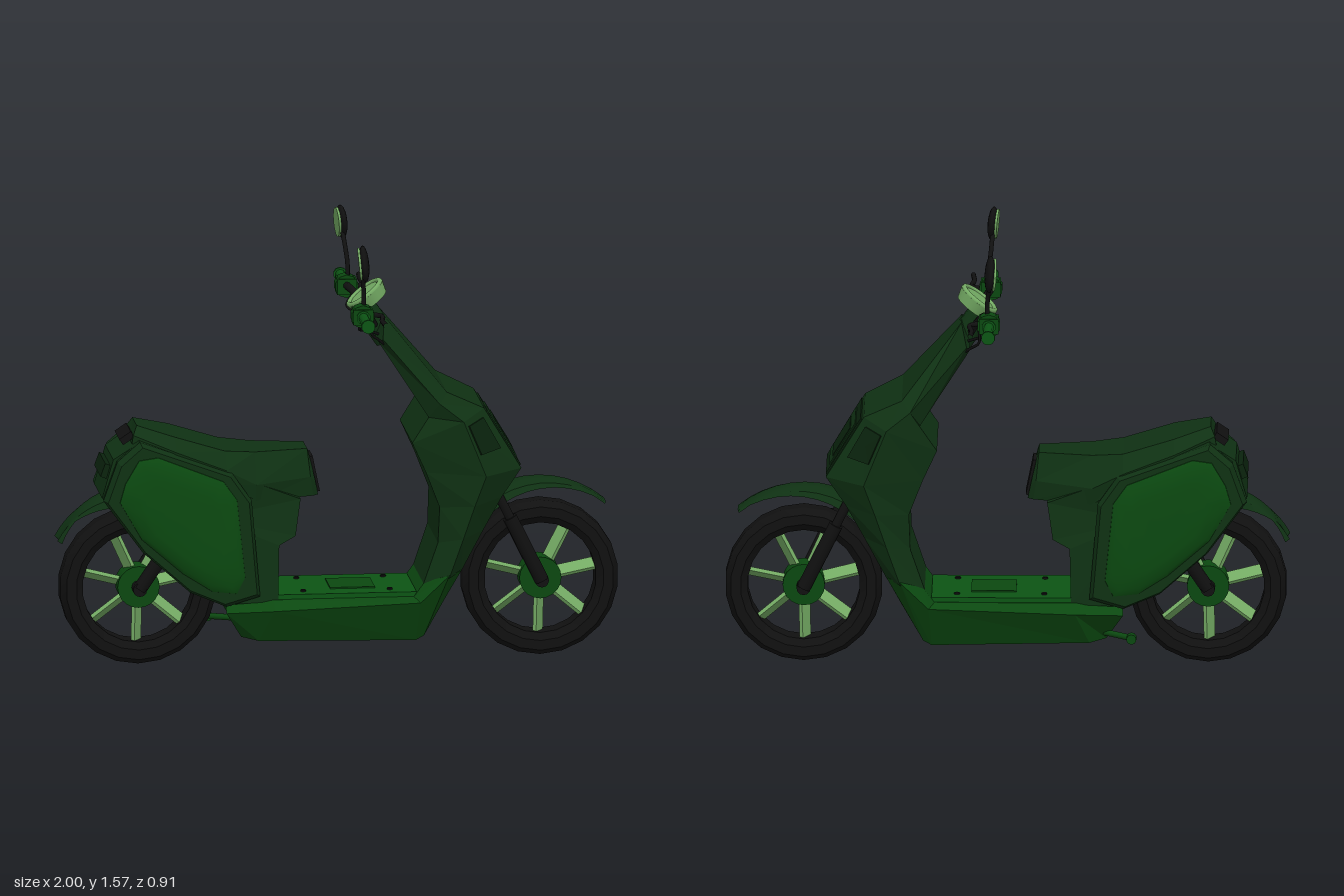
import * as THREE from 'three';
import { toCreasedNormals } from 'three/addons/utils/BufferGeometryUtils.js';

const mat = (name, color) => Object.assign(new THREE.MeshStandardMaterial({ color }), { name });

export function createModel() {
  const body = mat('dark green', 0x0f3113), panel = mat('mid green', 0x0b4810), floorGreen = mat('floor green', 0x0c5414);
  const black = mat('black', 0x101010), light = mat('pale green', 0x74ab64), trim = mat('shadow green', 0x0a230d);
  const model = new THREE.Group(), root = new THREE.Group();
  model.name = 'scooter';
  root.name = 'scooterParts';
  root.position.z = -0.01;
  model.add(root);

  const V = (x, y, z) => new THREE.Vector3(x, y, z);
  const add = (name, geo, material, parent = root) => {
    const m = new THREE.Mesh(geo, material);
    m.name = name;
    parent.add(m);
    return m;
  };
  // Skin closed rings of points, cap both ends, and face everything outward
  const loft = (rings, crease = 0.05) => {
    const tris = [], n = rings[0].length;
    for (let i = 0; i < rings.length - 1; i++) for (let j = 0; j < n; j++) {
      const k = (j + 1) % n, a = rings[i][j], b = rings[i][k], c = rings[i + 1][k], d = rings[i + 1][j];
      tris.push([a, b, c], [a, c, d]);
    }
    const cap = (ring, flip) => {
      const mid = ring.reduce((s, p) => s.add(p), V(0, 0, 0)).divideScalar(n);
      ring.forEach((p, j) => tris.push(flip ? [mid, ring[(j + 1) % n], p] : [mid, p, ring[(j + 1) % n]]));
    };
    cap(rings[0], true);
    cap(rings[rings.length - 1], false);
    const o = rings[0][0];
    const volume = tris.reduce((s, [a, b, c]) =>
      s + a.clone().sub(o).dot(b.clone().sub(o).cross(c.clone().sub(o))), 0);
    if (volume < 0) tris.forEach(t => t.reverse());
    const g = new THREE.BufferGeometry().setFromPoints(tris.flat());
    g.computeVertexNormals();
    return crease > 0.1 ? toCreasedNormals(g, crease) : g;
  };
  // Symmetric ring from [x, y, half width] points
  const ringOf = pts => [...pts.map(([x, y, w]) => V(x, y, w)), ...pts.slice().reverse().map(([x, y, w]) => V(x, y, -w))];
  const rod = (name, a, b, r, material, r2 = r) => {
    const d = b.clone().sub(a), m = add(name, new THREE.CylinderGeometry(r2, r, d.length(), 10), material);
    m.position.copy(a).lerp(b, 0.5);
    m.quaternion.setFromUnitVectors(V(0, 1, 0), d.normalize());
    return m;
  };
  const tube = (name, pts, r, material) =>
    add(name, new THREE.TubeGeometry(new THREE.CatmullRomCurve3(pts), 16, r, 8), material);
  // Side shell: outline in x,y stepped out in z, each step scaled about the middle
  const shell = (name, outline, steps, s, material, crease) => {
    const cx = outline.reduce((t, p) => t + p[0], 0) / outline.length, cy = outline.reduce((t, p) => t + p[1], 0) / outline.length;
    add(name, loft(steps.map(([z, k]) => outline.map(([x, y]) => V(cx + (x - cx) * k, cy + (y - cy) * k, s * z))), crease), material);
  };

  // Wheels
  const tyreProfile = [[.2, -.04], [.225, -.06], [.26, -.06], [.28, -.03], [.28, .03], [.26, .06], [.225, .06], [.2, .04], [.2, -.04]];
  for (const [name, x] of [['frontWheel', 0.715], ['rearWheel', -0.72]]) {
    const wheel = new THREE.Group();
    wheel.name = name;
    wheel.position.set(x, 0.287, 0);
    root.add(wheel);
    const tyre = new THREE.LatheGeometry(tyreProfile.map(p => new THREE.Vector2(...p)), 22).rotateX(Math.PI / 2);
    add('tyre', toCreasedNormals(tyre, 0.5), black, wheel);
    add('hub', new THREE.CylinderGeometry(.075, .075, .09, 20).rotateX(Math.PI / 2), panel, wheel);
    add('axle', new THREE.CylinderGeometry(.025, .025, .19, 12).rotateX(Math.PI / 2), black, wheel);
    for (let i = 0; i < 7; i++) {
      const blade = new THREE.BoxGeometry(.15, .014, .05).rotateX(0.6).translate(.135, 0, 0);
      add('spoke', blade.rotateZ(.2 + i * Math.PI * 2 / 7), light, wheel);
    }
  }

  // Mudguards: curved strips around the wheels that thin out at the tip
  const mudguard = (name, cx, from, to, w0, w1, thick, r1) => {
    const rings = [];
    for (let i = 0; i <= 10; i++) {
      const t = i / 10, a = THREE.MathUtils.degToRad(from + (to - from) * t), w = w0 + (w1 - w0) * t;
      const lo = .355 - thick * (1 - t), hi = .36 + (r1 - .36) * t * t;
      const at = (r, k) => [cx + Math.cos(a) * r, .287 + Math.sin(a) * r, w * k];
      rings.push(ringOf([at(Math.min(lo + .01, hi - .006), .1), at(Math.min(lo, hi - .008), 1), at(lo * .4 + hi * .6, .85), at(hi, .35)]));
    }
    add(name, loft(rings, 0.6), body);
  };
  mudguard('frontMudguard', .715, 132, 49, .105, .05, .05, .358);
  mudguard('rearMudguard', -.72, 95, 149, .075, .055, .06, .328);

  // Leg shield: stacked sections given as rear edge, side edge, front edge
  const sections = [
    [[.125, 1.18, .17], [.135, 1.2, .205], [.155, 1.255, .06]],
    [[.3, .91, .19], [.335, .965, .225], [.365, 1, .19]],
    [[.24, .82, .2], [.42, .9, .24], [.5, .935, .17]],
    [[.29, .71, .19], [.5, .7, .24], [.635, .71, .15]],
    [[.34, .58, .18], [.46, .59, .23], [.565, .61, .16]],
    [[.335, .45, .17], [.42, .47, .22], [.5, .49, .15]],
    [[.28, .29, .165], [.37, .33, .22], [.42, .34, .15]],
  ];
  add('legShield', loft(sections.map(ringOf)), body);

  // Thin inset panels laid on a four-cornered face
  const plate = (name, corners, u0, u1, v0, v1, lift, material) => {
    const [A, B, C, D] = corners;
    const p = (u, v) => A.clone().lerp(B, u).lerp(D.clone().lerp(C, u), v).add(lift);
    const ring = [p(u0, v0), p(u1, v0), p(u1, v1), p(u0, v1)], drop = lift.clone().setLength(.007);
    add(name, loft([ring, ring.map(q => q.clone().sub(drop))]), material);
  };
  const pt = (i, j, s) => V(sections[i][j][0], sections[i][j][1], sections[i][j][2] * s);
  const nose = [pt(2, 2, 1), pt(2, 2, -1), pt(3, 2, -1), pt(3, 2, 1)];
  const ahead = k => V(.854, .52, 0).multiplyScalar(k);
  plate('noseFrame', nose, .06, .94, .06, .97, ahead(.005), trim);
  plate('nosePanel', nose, .15, .85, .18, .86, ahead(.009), body);
  plate('noseInset', nose, .24, .76, .3, .76, ahead(.012), trim);
  for (const s of [1, -1]) {
    plate('sideVent', [pt(2, 1, s), pt(2, 2, s), pt(3, 2, s), pt(3, 1, s)], .1, .75, .1, .62, V(.004, .001, .006 * s), trim);
  }

  // Floor pan, deck and fasteners
  add('floorPan', loft([
    [[-.42, .24, .14], [-.42, .21, .17], [-.36, .11, .1]],
    [[-.25, .255, .165], [-.25, .22, .2], [-.3, .1, .13]],
    [[.25, .255, .165], [.27, .24, .205], [.26, .09, .13]],
    [[.29, .31, .165], [.37, .34, .222], [.29, .105, .125]],
    [[.36, .36, .15], [.42, .345, .16], [.37, .24, .11]],
  ].map(ringOf)), panel);
  add('floorDeck', new THREE.BoxGeometry(.5, .02, .32).translate(.01, .262, 0), floorGreen);
  add('floorHatch', new THREE.BoxGeometry(.16, .006, .16).translate(.04, .274, 0), panel);
  for (const x of [-.14, .17]) for (const z of [-.11, .11])
    add('floorBolt', new THREE.CylinderGeometry(.01, .01, .006, 8).translate(x, .275, z), black);

  // Seat column and tail core, open above the rear wheel
  const core = [[-.86, .63, .13], [-.82, .77, .13], [-.73, .83, .14], [-.42, .72, .16], [-.15, .61, .12], [-.17, .48, .14],
    [-.23, .45, .155], [-.235, .25, .165], [-.41, .24, .16], [-.5, .5, .16], [-.68, .6, .15]];
  add('rearBody', loft([1, -1].map(s => core.map(([x, y, w]) => V(x, y, w * s)))), body);
  const cheek = [[-.86, .63], [-.81, .77], [-.73, .84], [-.4, .72], [-.33, .62], [-.3, .27], [-.42, .235], [-.55, .29], [-.72, .44]];
  const cover = [[-.81, .63], [-.79, .7], [-.74, .785], [-.67, .795], [-.43, .7], [-.38, .63], [-.35, .34], [-.38, .28], [-.47, .29], [-.58, .36], [-.73, .49]];
  for (const s of [1, -1]) {
    shell('rearCheek', cheek, [[.075, .97], [.17, 1], [.197, .95]], s, body);
    shell('sidePanel', cover, [[.17, 1], [.2, .97], [.213, .87], [.22, .6], [.221, .3]], s, panel, 0.7);
  }
  add('tailLamp', new THREE.BoxGeometry(.04, .05, .2).rotateZ(-.35).translate(-.835, .72, 0), trim);
  add('tailPanel', new THREE.BoxGeometry(.05, .025, .15).rotateZ(.6).translate(-.765, .835, 0), black);

  // Seat: lower edge, side edge, top edge
  add('seat', loft([
    [[-.75, .82, .1], [-.745, .85, .1], [-.73, .88, .07]],
    [[-.6, .76, .17], [-.6, .8, .175], [-.6, .845, .12]],
    [[-.42, .68, .17], [-.42, .73, .175], [-.42, .79, .12]],
    [[-.31, .61, .14], [-.31, .67, .15], [-.31, .78, .1]],
    [[-.1, .61, .07], [-.11, .68, .08], [-.12, .78, .06]],
    [[-.08, .61, .05], [-.09, .66, .06], [-.115, .77, .045]],
  ].map(ringOf)), body);
  add('seatNose', new THREE.BoxGeometry(.012, .13, .1).rotateZ(.2).translate(-.092, .685, 0), black);

  // Steering stem and round display
  rod('stem', V(.17, 1.16, 0), V(.08, 1.29, 0), .045, body);
  const dial = new THREE.Group();
  dial.name = 'display';
  dial.position.set(.105, 1.31, 0);
  dial.rotation.z = 0.65;
  root.add(dial);
  add('displayCase', new THREE.CylinderGeometry(.078, .065, .04, 24), light, dial);
  add('displayRim', new THREE.TorusGeometry(.068, .01, 8, 24).rotateX(Math.PI / 2).translate(0, .022, 0), light, dial);
  add('displayFace', new THREE.CylinderGeometry(.056, .056, .006, 24).translate(0, .021, 0), light, dial);

  for (const s of [1, -1]) {
    // Front fork and rear swing arm
    rod('forkUpper', V(.55, .62, .095 * s), V(.63, .46, .095 * s), .017, black);
    rod('forkLower', V(.6, .52, .095 * s), V(.715, .287, .085 * s), .026, black);
    rod('swingArm', V(-.72, .287, .08 * s), V(-.6, .47, .09 * s), .025, black);

    // Handlebar with grip, switch box and lever
    tube('handlebar', [V(.12, 1.22, .05 * s), V(.1, 1.26, .08 * s), V(.07, 1.3, .14 * s), V(.055, 1.305, .22 * s), V(.055, 1.3, .3 * s)], .014, black);
    rod('grip', V(.055, 1.3, .29 * s), V(.055, 1.3, .45 * s), .018, floorGreen);
    for (const z of [.295, .448]) rod('gripCollar', V(.055, 1.3, (z - .006) * s), V(.055, 1.3, (z + .006) * s), .025, floorGreen);
    add('switchBox', new THREE.BoxGeometry(.07, .055, .07).translate(.055, 1.3, .26 * s), panel);
    rod('switchCap', V(.055, 1.3, .235 * s), V(.055, 1.3, .285 * s), .042, panel);
    tube('lever', [V(.08, 1.3, .24 * s), V(.12, 1.3, .27 * s), V(.115, 1.3, .36 * s), V(.12, 1.3, .44 * s)], .009, black);

    // Brake cables
    tube('cable', [V(.09, 1.28, .25 * s), V(.09, 1.23, .245 * s), V(.12, 1.2, .21 * s), V(.15, 1.17, .17 * s)], .005, black);
    tube('cable', [V(.08, 1.28, .23 * s), V(.05, 1.24, .2 * s), V(.09, 1.22, .14 * s), V(.14, 1.19, .08 * s)], .005, black);

    // Mirror
    tube('mirrorStem', [V(.06, 1.31, .255 * s), V(.06, 1.38, .26 * s), V(.055, 1.43, .28 * s), V(.05, 1.48, .325 * s)], .008, black);
    const mirror = new THREE.Group();
    mirror.name = 'mirror';
    mirror.position.set(.05, 1.51, .36 * s);
    mirror.rotation.set(.7 * s, 0, .12);
    root.add(mirror);
    add('mirrorShell', new THREE.SphereGeometry(1, 20, 12).scale(.018, .057, .07), black, mirror);
    add('mirrorGlass', new THREE.CylinderGeometry(1, 1, .008, 24).rotateZ(Math.PI / 2).scale(1, .05, .062).translate(-.015, 0, 0), light, mirror);
  }

  // Side stand
  rod('standArm', V(-.34, .135, -.1), V(-.45, .13, -.175), .011, panel);
  rod('standFoot', V(-.45, .13, -.165), V(-.45, .13, -.2), .018, panel);
  return model;
}
